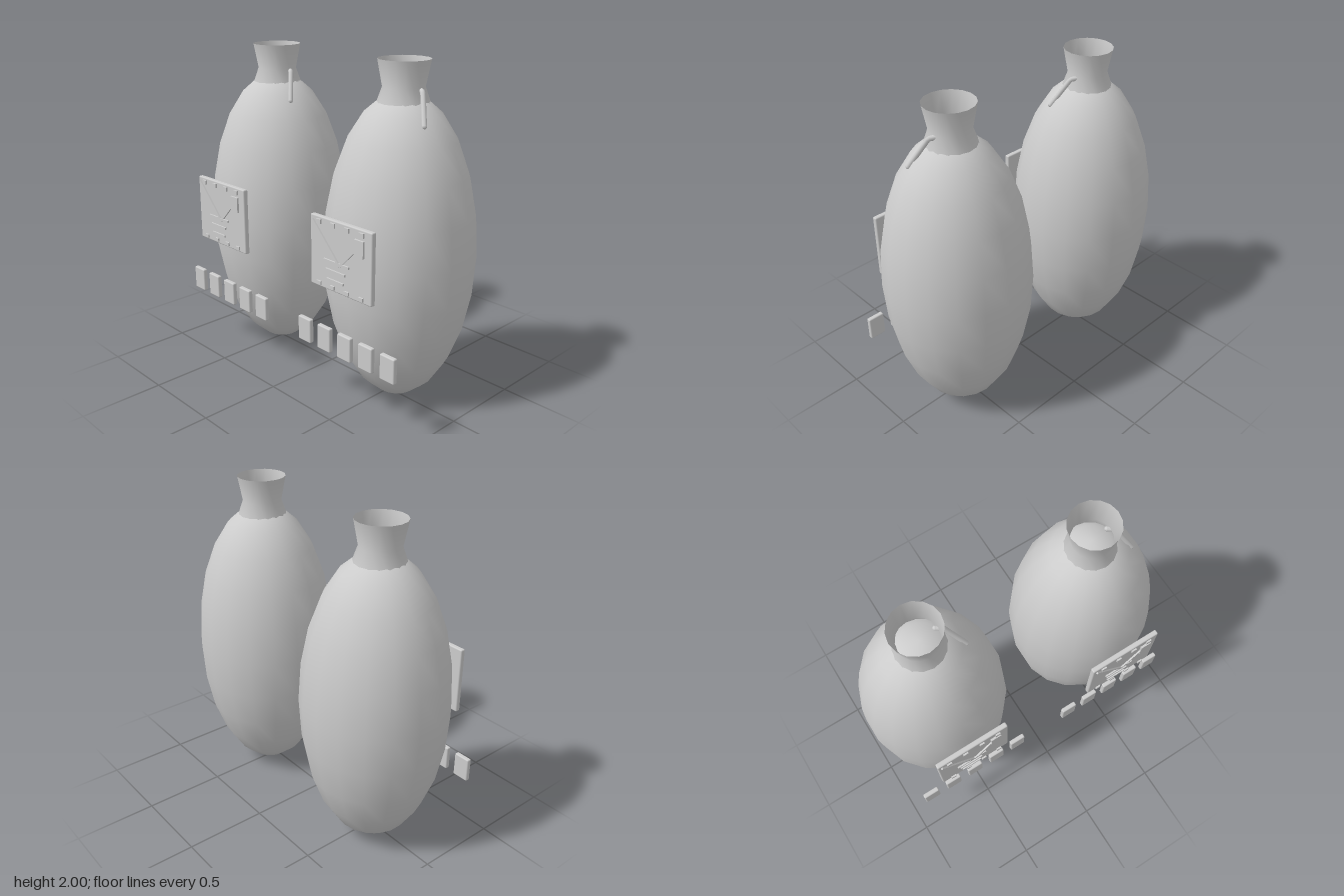
import * as THREE from 'three';
import { RoundedBoxGeometry } from 'three/addons/geometries/RoundedBoxGeometry.js';

const grey = new THREE.MeshStandardMaterial({ color: 0xcccccc, side: THREE.DoubleSide });
grey.name = 'light grey';

const CENTRE_Z = -0.0275;

function add(group, name, geometry, x = 0, y = 0, z = 0) {
  const mesh = new THREE.Mesh(geometry, grey);
  mesh.name = name;
  mesh.position.set(x, y, z);
  group.add(mesh);
  return mesh;
}

// Thin raised bar between two points on the front of the label
function bar(group, name, x1, y1, x2, y2, thickness = 0.013) {
  const length = Math.hypot(x2 - x1, y2 - y1);
  const mesh = add(group, name, new THREE.BoxGeometry(length, thickness, 0.01),
    (x1 + x2) / 2, (y1 + y2) / 2, 0.454);
  mesh.rotation.z = Math.atan2(y2 - y1, x2 - x1);
}

function createLabel() {
  const label = new THREE.Group();
  label.name = 'label';
  add(label, 'labelPlate', new RoundedBoxGeometry(0.465, 0.41, 0.032, 2, 0.008), 0, 0.98, 0.432);

  // Rows of small studs along the top and bottom edges
  for (const x of [-0.16, -0.053, 0.055, 0.162]) {
    add(label, 'topStud', new THREE.BoxGeometry(0.032, 0.026, 0.01), x, 1.158, 0.454);
    add(label, 'bottomStud', new THREE.BoxGeometry(0.032, 0.022, 0.01), x, 0.8, 0.454);
  }

  // Diagonal bars, small panel and horizontal bars
  bar(label, 'longDiagonal', -0.21, 1.16, 0, 0.94);
  bar(label, 'shortDiagonal', 0, 0.94, 0.125, 1.07);
  add(label, 'smallPanel', new THREE.BoxGeometry(0.066, 0.095, 0.014), 0.147, 1.08, 0.454);
  bar(label, 'wideBar', -0.12, 0.95, 0.073, 0.95);
  bar(label, 'middleBar', -0.105, 0.897, 0.043, 0.897);
  bar(label, 'narrowBar', -0.095, 0.842, 0.032, 0.842);
  return label;
}

function createVessel() {
  const vessel = new THREE.Group();
  vessel.name = 'vessel';

  // Egg-shaped body
  const body = new THREE.SphereGeometry(1, 18, 12);
  body.rotateY(Math.PI / 2);
  body.scale(0.444, 0.912, 0.4325);
  add(vessel, 'body', body, 0, 0.917, CENTRE_Z);

  // Open flared neck
  const profile = [[0.166, 1.715], [0.118, 1.85], [0.147, 2]].map(([r, y]) => new THREE.Vector2(r, y));
  add(vessel, 'neck', new THREE.LatheGeometry(profile, 16), 0, 0, CENTRE_Z);

  // Bent handle leaving the neck and sloping down to the shoulder
  const path = new THREE.CurvePath();
  const points = [[0.105, 1.84, -0.04], [0.14, 1.835, -0.02], [0.222, 1.675, 0.058]]
    .map((p) => new THREE.Vector3(...p));
  path.add(new THREE.LineCurve3(points[0], points[1]));
  path.add(new THREE.LineCurve3(points[1], points[2]));
  add(vessel, 'handle', new THREE.TubeGeometry(path, 20, 0.015, 8));
  for (const end of [points[0], points[2]]) {
    add(vessel, 'handleEnd', new THREE.SphereGeometry(0.015, 8, 6), end.x, end.y, end.z);
  }

  vessel.add(createLabel());

  // Row of tabs in front of the lower body
  for (let i = -2; i <= 2; i++) {
    add(vessel, 'tab', new RoundedBoxGeometry(0.104, 0.15, 0.03, 2, 0.008), i * 0.163, 0.44, 0.407);
  }
  return vessel;
}

export function createModel() {
  const model = new THREE.Group();
  model.name = 'vesselPair';
  for (const x of [-0.53, 0.53]) {
    const vessel = createVessel();
    vessel.position.x = x;
    model.add(vessel);
  }
  return model;
}
